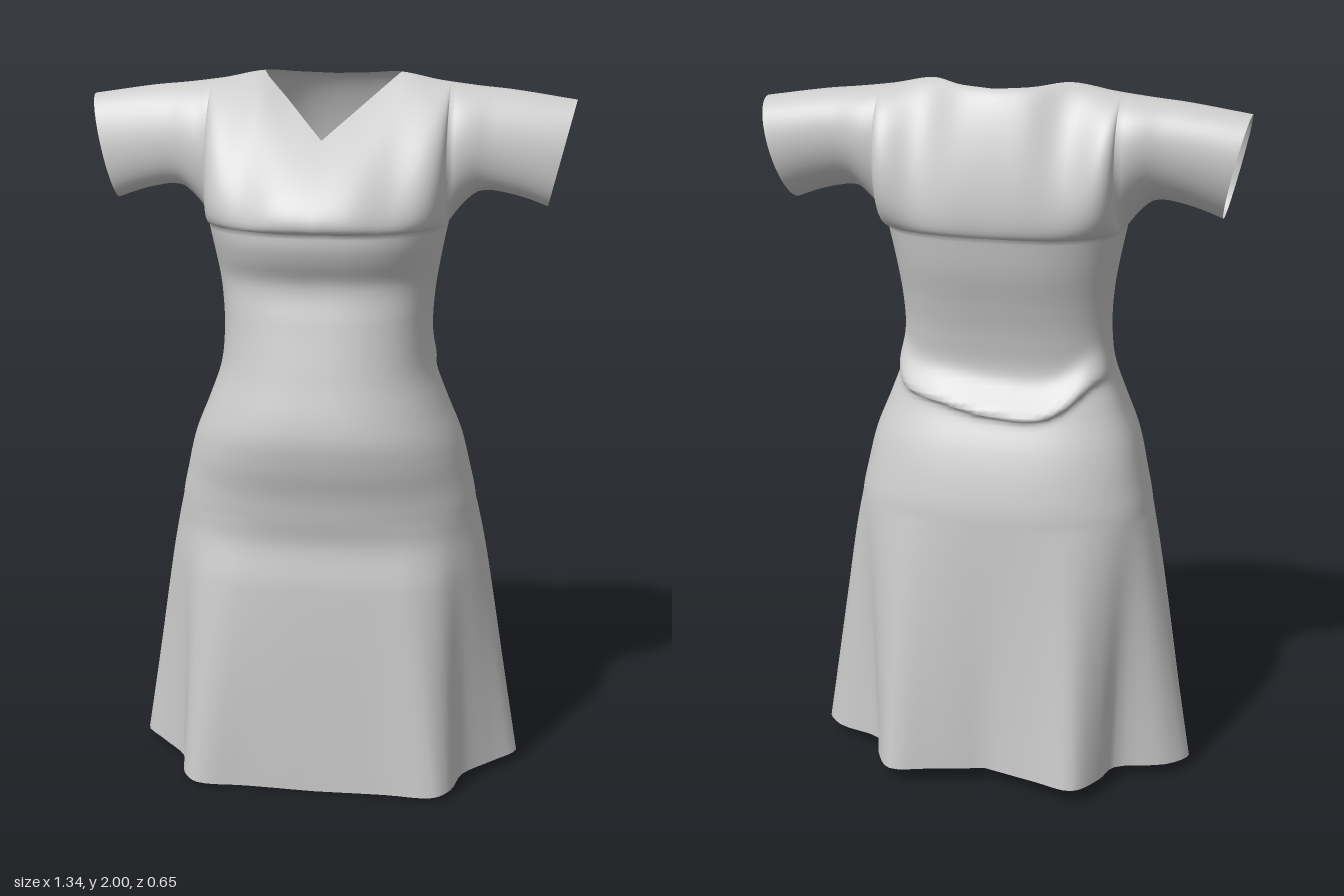
import * as THREE from 'three';
import { mergeVertices } from 'three/addons/utils/BufferGeometryUtils.js';

// Smooth curve through [key, value] pairs
function profile(pts) {
  const slope = i => {
    const a = pts[Math.max(i - 1, 0)], b = pts[Math.min(i + 1, pts.length - 1)];
    return (b[1] - a[1]) / (b[0] - a[0]);
  };
  return k => {
    k = THREE.MathUtils.clamp(k, pts[0][0], pts[pts.length - 1][0]);
    let i = 0;
    while (i < pts.length - 2 && k > pts[i + 1][0]) i++;
    const d = pts[i + 1][0] - pts[i][0], t = (k - pts[i][0]) / d, t2 = t * t, t3 = t2 * t;
    return (2 * t3 - 3 * t2 + 1) * pts[i][1] + (t3 - 2 * t2 + t) * d * slope(i)
      + (3 * t2 - 2 * t3) * pts[i + 1][1] + (t3 - t2) * d * slope(i + 1);
  };
}
const { lerp, clamp } = THREE.MathUtils;

// Body outline by height: half width, front depth, back depth
const YOKE = 1.6, HALF = 0.33, FLARE = 0.8;
const width = profile([[0, 0.43], [0.6, 0.43], [0.8, 0.42], [0.9, 0.4], [1, 0.375], [1.1, 0.335],
  [1.2, 0.3], [1.3, 0.29], [1.4, 0.295], [1.5, 0.31], [YOKE, HALF]]);
const front = profile([[0, 0.29], [0.6, 0.275], [0.72, 0.262], [0.8, 0.277], [0.87, 0.29], [0.96, 0.315],
  [1.05, 0.325], [1.2, 0.295], [1.35, 0.262], [1.45, 0.245], [1.52, 0.275], [1.56, 0.288], [YOKE, 0.29]]);
const back = profile([[0, 0.26], [0.8, 0.26], [0.9, 0.245], [1, 0.215], [1.1, 0.17], [1.2, 0.135],
  [1.3, 0.145], [1.4, 0.17], [1.5, 0.2], [YOKE, 0.22]]);

// Half of the folded hem, from front centre to back centre
const hem = new THREE.CatmullRomCurve3([[0, 0.29], [0.2, 0.295], [0.34, 0.305], [0.385, 0.26],
  [0.41, 0.16], [0.49, 0.07], [0.555, -0.01], [0.5, -0.09], [0.36, -0.15], [0.33, -0.24],
  [0.27, -0.325], [0.15, -0.3], [0, -0.26]].map(([x, z]) => new THREE.Vector3(x, 0, z)));

// Point on the body; t = 0 is front centre, PI is back centre
function body(t, y) {
  const s = Math.sin(t), c = Math.cos(t), pow = v => Math.sign(v) * Math.abs(v) ** 0.8;
  const p = new THREE.Vector3(width(y) * pow(s), y, (c > 0 ? front(y) : back(y)) * pow(c));
  // Skirt flares into the folded hem
  const k = clamp((FLARE - y) / FLARE, 0, 1);
  if (k > 0) {
    let a = Math.abs(t) % (2 * Math.PI);
    if (a > Math.PI) a = 2 * Math.PI - a;
    const h = hem.getPoint(a / Math.PI);
    p.x = lerp(p.x, h.x * Math.sign(s), k);
    p.z = lerp(p.z, h.z, k);
    p.y += 0.045 * Math.sin(a / 2) * k;
  }
  // Gathered fold across the back of the waist
  if (c < 0) {
    const d = y - (1.12 + 0.1 * s * s + 0.012 * Math.sin(5 * t));
    const fold = Math.sqrt(-c) * Math.exp(-((d / (d > 0 ? 0.04 : 0.022)) ** 2));
    p.z -= 0.045 * fold;
    p.x += 0.015 * fold * s;
    p.y -= 0.02 * fold;
  }
  return p;
}

// Yoke and sleeves: arcs from a bottom edge up to the shoulder line, by distance from centre
const NECK = HALF * 0.5 ** 0.8;
const topY = profile([[0, 1.985], [0.1, 1.99], [NECK, 1.998], [0.3, 1.978], [0.4, 1.965], [0.5, 1.955], [0.67, 1.93]]);
const topZ = profile([[0, -0.14], [0.1, -0.117], [NECK, -0.06], [0.3, -0.048], [0.67, -0.045]]);
const underY = profile([[HALF, YOKE], [0.37, 1.65], [0.42, 1.685], [0.52, 1.678], [0.67, 1.645]]);
const bulgeFront = profile([[0, 0.12], [0.1, 0.11], [0.2, 0.075], [HALF, 0.115], [0.45, 0.09], [0.67, 0.075]]);
const bulgeBack = profile([[0, 0.045], [0.2, 0.07], [HALF, 0.145], [0.45, 0.125], [0.67, 0.115]]);

function arc(x, bottom, v, side) {
  const ax = Math.abs(x), top = topY(ax);
  let hMax = 1;
  // V neckline cut into the front
  if (side > 0 && ax < NECK - 1e-6) hMax = (lerp(1.83, topY(NECK), ax / NECK) - bottom.y) / (top - bottom.y);
  const a = v * Math.acos(1 - 2 * Math.min(hMax, 1)), h = (1 - Math.cos(a)) / 2;
  const z = lerp(bottom.z, topZ(ax), h) + side * Math.sin(a) * (side > 0 ? bulgeFront(ax) : bulgeBack(ax));
  // Sleeve opening slants inward below
  const s = Math.max(0, (ax - HALF) / 0.34);
  return new THREE.Vector3(x - Math.sign(x) * 0.07 * s * s * (1 - h), lerp(bottom.y, top, h), z);
}

export function createModel() {
  const positions = [], indices = [];
  const grid = (nu, nv, fn) => {
    const base = positions.length / 3;
    for (let j = 0; j <= nv; j++) for (let i = 0; i <= nu; i++) positions.push(...fn(i / nu, j / nv).toArray());
    for (let j = 0; j < nv; j++) for (let i = 0; i < nu; i++) {
      const a = base + j * (nu + 1) + i, b = a + 1, c = a + nu + 1, d = c + 1;
      indices.push(a, b, d, a, d, c);
    }
  };

  // Skirt and lower bodice
  grid(96, 120, (u, v) => body(u * 2 * Math.PI, v * YOKE));
  // Chest and upper back
  for (const side of [1, -1]) {
    grid(48, 24, (u, v) => {
      const p = body((u - 0.5 + (side < 0 ? 1 : 0)) * Math.PI, YOKE);
      return arc(p.x, p, v, side);
    });
    // Front and back halves of both sleeves
    for (const dir of [1, -1]) {
      grid(20, 24, (u, v) => {
        const s = dir * side > 0 ? u : 1 - u, x = HALF + 0.34 * s;
        return arc(dir * x, new THREE.Vector3(dir * x, underY(x), -0.01 * s), v, side);
      });
    }
  }

  // Weld all panels so that the cloth shades smoothly across seams
  let cloth = new THREE.BufferGeometry();
  cloth.setAttribute('position', new THREE.Float32BufferAttribute(positions, 3));
  cloth.setIndex(indices);
  cloth = mergeVertices(cloth, 1e-4);
  cloth.computeVertexNormals();

  // Split the welded cloth into named parts
  const parts = { skirt: [], bodice: [], leftSleeve: [], rightSleeve: [] };
  const pos = cloth.attributes.position, idx = cloth.index;
  for (let i = 0; i < idx.count; i += 3) {
    const tri = [idx.getX(i), idx.getX(i + 1), idx.getX(i + 2)];
    const mean = f => tri.reduce((sum, n) => sum + f(n), 0) / 3;
    const x = mean(n => pos.getX(n)), y = mean(n => pos.getY(n));
    const name = y < 1.12 ? 'skirt' : y < YOKE || Math.abs(x) < HALF ? 'bodice' : x > 0 ? 'leftSleeve' : 'rightSleeve';
    parts[name].push(...tri);
  }
  const material = new THREE.MeshStandardMaterial({ color: 0xcccccc, side: THREE.DoubleSide });
  const group = new THREE.Group();
  group.name = 'dress';
  for (const [name, list] of Object.entries(parts)) {
    const geometry = new THREE.BufferGeometry();
    geometry.setAttribute('position', pos);
    geometry.setAttribute('normal', cloth.attributes.normal);
    geometry.setIndex(list);
    const mesh = new THREE.Mesh(geometry, material);
    mesh.name = name;
    group.add(mesh);
  }
  return group;
}
